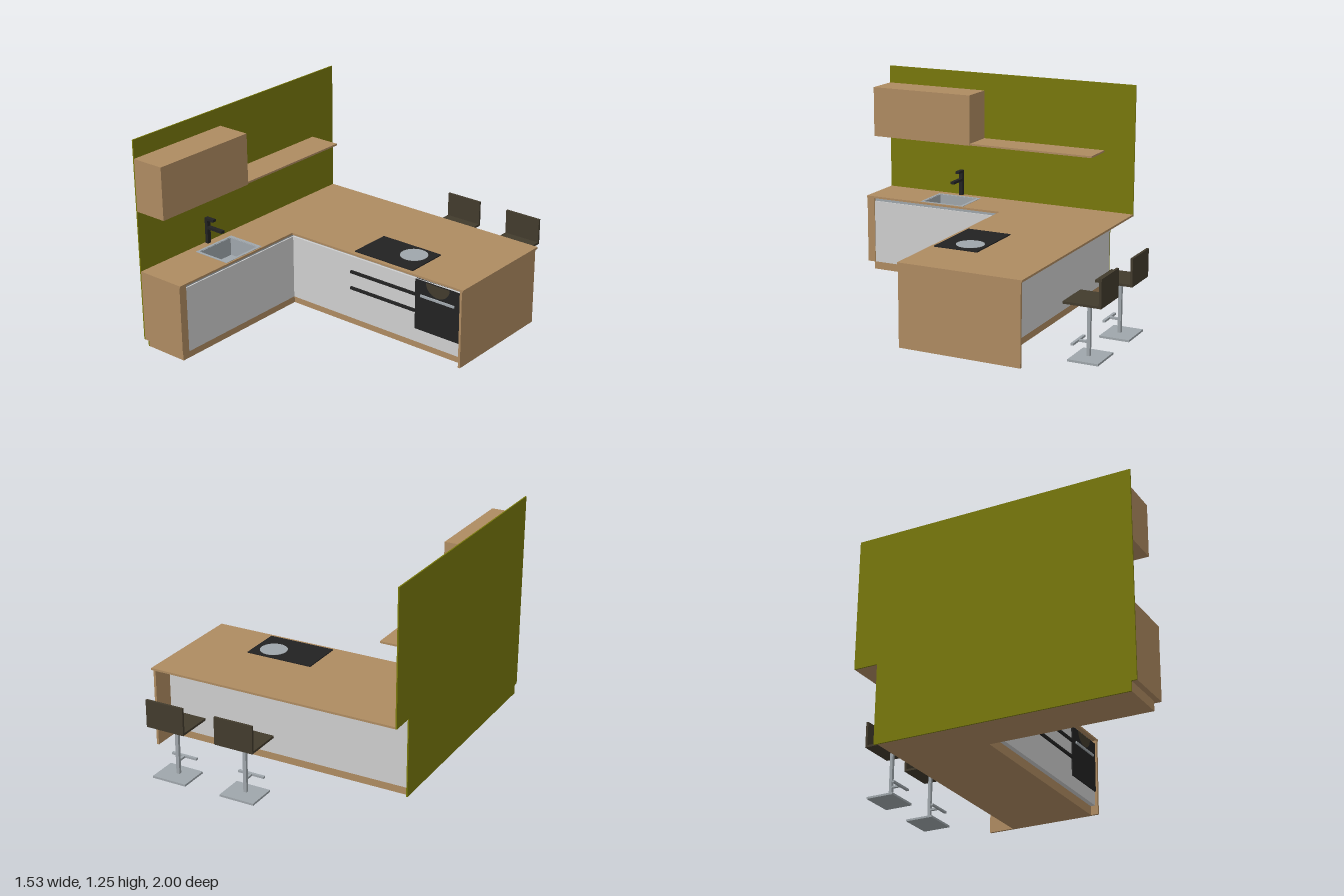
import * as THREE from 'three';

const mat = (name, color) => {
  const m = new THREE.MeshStandardMaterial({ color });
  m.name = name;
  return m;
};

export function createModel() {
  const wood = mat('wood', 0xae8b61);
  const olive = mat('olive wall', 0x78780c);
  const white = mat('white fronts', 0xcecece);
  const steel = mat('steel', 0x9fa6ab);
  const black = mat('black', 0x222222);
  const seatMat = mat('dark brown', 0x423b2d);

  const root = new THREE.Group();
  root.name = 'kitchen';

  // Box given by its limits on each axis
  const box = (name, m, [x0, x1], [y0, y1], [z0, z1], parent = root) => {
    const mesh = new THREE.Mesh(new THREE.BoxGeometry(x1 - x0, y1 - y0, z1 - z0), m);
    mesh.position.set((x0 + x1) / 2, (y0 + y1) / 2, (z0 + z1) / 2);
    mesh.name = name;
    parent.add(mesh);
    return mesh;
  };

  // Wall panel, stepped around the base cabinets
  box('wallUpper', olive, [-0.765, -0.757], [0.465, 1.25], [-0.65, 1]);
  box('wallLower', olive, [-0.765, -0.757], [0.055, 0.465], [-0.505, 1]);
  box('wallFoot', olive, [-0.765, -0.757], [0, 0.055], [-0.505, 0.97]);

  // L-shaped worktop with a sink opening (shape y is -z)
  const top = new THREE.Shape([
    [-0.757, 0.65], [-0.757, -1], [-0.455, -1], [-0.455, -0.08], [0.765, -0.08], [0.765, 0.65],
  ].map(([x, y]) => new THREE.Vector2(x, y)));
  const rect = (x0, x1, z0, z1) => new THREE.Path(
    [[x0, -z0], [x1, -z0], [x1, -z1], [x0, -z1]].map(([x, y]) => new THREE.Vector2(x, y)));
  top.holes.push(rect(-0.69, -0.48, 0.355, 0.61));
  const worktop = new THREE.Mesh(new THREE.ExtrudeGeometry(top, { depth: 0.012, bevelEnabled: false }), wood);
  worktop.rotation.x = -Math.PI / 2;
  worktop.position.y = 0.465;
  worktop.name = 'worktop';
  root.add(worktop);

  // Peninsula cabinets
  box('peninsulaCarcass', white, [-0.757, 0.743], [0.055, 0.445], [-0.505, 0.063]);
  box('peninsulaBackTop', white, [-0.757, 0.743], [0.445, 0.465], [-0.505, -0.49]);
  box('peninsulaGripChannel', steel, [-0.757, 0.743], [0.445, 0.465], [-0.49, 0.05]);
  box('peninsulaPlinth', wood, [-0.757, 0.743], [0, 0.055], [-0.485, 0.035]);
  box('peninsulaEndPanel', wood, [0.743, 0.757], [0, 0.465], [-0.64, 0.08]);

  // Sink run cabinets
  box('sinkRunFront', white, [-0.473, -0.465], [0.055, 0.445], [0.063, 0.95]);
  box('sinkRunGripChannel', steel, [-0.479, -0.473], [0.445, 0.465], [0.05, 0.95]);
  box('sinkRunFloor', white, [-0.757, -0.473], [0.055, 0.065], [0.063, 0.95]);
  box('sinkRunPlinth', wood, [-0.757, -0.487], [0, 0.055], [0.035, 0.97]);
  box('sinkRunEndPanel', wood, [-0.757, -0.46], [0.055, 0.465], [0.95, 1]);

  // Drawer handles
  for (const y of [0.25, 0.352]) box('drawerHandle', black, [-0.025, 0.435], [y - 0.008, y + 0.008], [0.063, 0.075]);

  // Oven with bar handle and small display
  box('ovenDoor', black, [0.435, 0.742], [0.14, 0.445], [0.05, 0.07]);
  box('ovenHandle', steel, [0.475, 0.705], [0.349, 0.362], [0.07, 0.079]);
  const display = new THREE.Mesh(new THREE.CircleGeometry(0.08, 24, Math.PI, Math.PI), seatMat);
  display.position.set(0.59, 0.443, 0.0715);
  display.scale.y = 0.9;
  display.name = 'ovenDisplay';
  root.add(display);

  // Hob
  box('hob', black, [-0.005, 0.405], [0.477, 0.483], [-0.21, 0.055]);
  const ring = new THREE.Mesh(new THREE.CylinderGeometry(0.08, 0.08, 0.002, 40), steel);
  ring.position.set(0.29, 0.484, -0.11);
  ring.name = 'hobRing';
  root.add(ring);

  // Sink: flat rim and open basin
  const sink = new THREE.Group();
  sink.name = 'sink';
  root.add(sink);
  const rimY = [0.477, 0.479], wallY = [0.37, 0.477];
  box('rimBack', steel, [-0.705, -0.69], rimY, [0.335, 0.625], sink);
  box('rimFront', steel, [-0.48, -0.465], rimY, [0.335, 0.625], sink);
  box('rimSide', steel, [-0.69, -0.48], rimY, [0.335, 0.355], sink);
  box('rimSide', steel, [-0.69, -0.48], rimY, [0.61, 0.625], sink);
  box('basinWall', steel, [-0.69, -0.686], wallY, [0.355, 0.61], sink);
  box('basinWall', steel, [-0.484, -0.48], wallY, [0.355, 0.61], sink);
  box('basinWall', steel, [-0.686, -0.484], wallY, [0.355, 0.359], sink);
  box('basinWall', steel, [-0.686, -0.484], wallY, [0.606, 0.61], sink);
  box('basinFloor', steel, [-0.69, -0.48], [0.365, 0.37], [0.355, 0.61], sink);

  // Tap
  const tapZ = [0.474, 0.499];
  box('tapColumn', black, [-0.75, -0.73], [0.477, 0.635], tapZ);
  box('tapSpout', black, [-0.73, -0.62], [0.568, 0.583], tapZ);
  box('tapLever', black, [-0.73, -0.685], [0.62, 0.635], tapZ);

  // Wall cupboard and shelf
  box('wallCupboard', wood, [-0.757, -0.555], [0.836, 1.143], [0.335, 1]);
  box('shelf', wood, [-0.757, -0.565], [0.836, 0.847], [-0.46, 0.335]);

  // Bar stools behind the peninsula
  for (const x of [0.01, 0.44]) {
    const stool = new THREE.Group();
    stool.name = 'barStool';
    stool.position.x = x;
    root.add(stool);
    box('seat', seatMat, [-0.117, 0.117], [0.315, 0.328], [-1, -0.783], stool);
    box('backrest', seatMat, [-0.117, 0.117], [0.328, 0.475], [-1, -0.986], stool);
    box('post', steel, [-0.01, 0.01], [0.012, 0.315], [-0.896, -0.878], stool);
    box('base', steel, [-0.105, 0.105], [0, 0.012], [-0.983, -0.81], stool);
    box('footrestArm', steel, [-0.008, 0.008], [0.082, 0.094], [-0.878, -0.83], stool);
    box('footrest', steel, [-0.08, 0.08], [0.082, 0.094], [-0.832, -0.816], stool);
  }
  return root;
}
